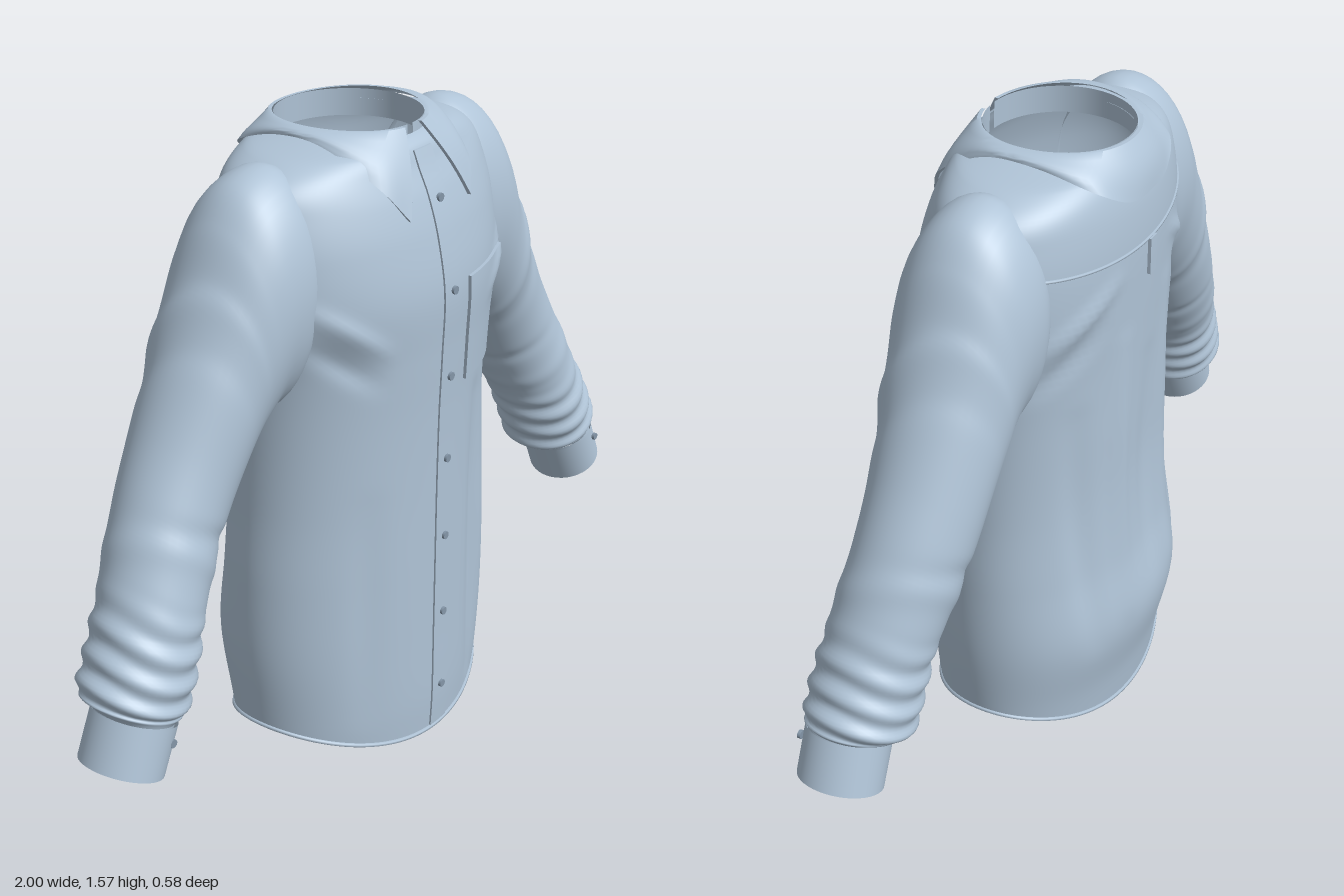
import * as THREE from 'three';
import { toCreasedNormals } from 'three/addons/utils/BufferGeometryUtils.js';

const fabric = new THREE.MeshStandardMaterial({ color: 0xb0c4d7, side: THREE.DoubleSide });
fabric.name = 'pale blue fabric';
const buttonMat = new THREE.MeshStandardMaterial({ color: 0x8496a8 });
buttonMat.name = 'button grey blue';

// Torso profile: height, half width, front depth, back depth
const PROFILE = [
  [0, .375, .265, .235], [.11, .386, .27, .25], [.3, .4, .27, .285], [.5, .395, .27, .256],
  [.7, .382, .27, .24], [.9, .38, .272, .238], [1.05, .39, .277, .238], [1.2, .42, .28, .24],
  [1.33, .42, .258, .24], [1.42, .4, .23, .233], [1.48, .37, .202, .22],
  [1.52, .29, .185, .205], [1.535, .2, .168, .195], [1.54, .172, .158, .188],
];

// Soft folds: x1, y1, x2, y2, height, width, side (1 front, -1 back)
const FOLDS = [
  [-.38, 1.24, -.2, 1.1, .012, .022, 1], [-.36, 1.15, -.22, 1.03, -.012, .025, 1],
  [.38, 1.25, .2, 1.14, .012, .022, 1], [.37, 1.17, .3, 1.12, -.012, .025, 1],
  [.16, .88, .17, .08, -.016, .025, 1], [.23, .8, .24, .1, .01, .04, 1],
  [-.22, .7, -.24, .15, -.007, .04, 1],
  [-.12, 1.15, -.13, .35, .012, .03, -1], [.1, 1.1, .12, .35, .012, .03, -1],
  [-.02, 1, 0, .4, -.01, .035, -1], [.24, .95, .23, .3, -.012, .035, -1],
  [-.25, .95, -.23, .3, -.012, .035, -1],
  [-.36, 1.16, -.14, 1.28, .012, .02, -1], [.36, 1.16, .14, 1.28, .012, .02, -1],
  [-.36, 1.06, -.2, 1.18, -.012, .025, -1], [.36, 1.06, .2, 1.18, -.012, .025, -1],
];

function profileAt(y) {
  const P = PROFILE, last = P.length - 1;
  let i = 0;
  while (i < last - 1 && y > P[i + 1][0]) i++;
  const a = P[i], b = P[i + 1], h = b[0] - a[0];
  const s = THREE.MathUtils.clamp((y - a[0]) / h, 0, 1);
  const slope = (k, c) => {
    const p = P[Math.max(k - 1, 0)], q = P[Math.min(k + 1, last)];
    return (q[c] - p[c]) / (q[0] - p[0]) * h;
  };
  return [1, 2, 3].map((c) => {
    const s2 = s * s, s3 = s2 * s;
    return (2 * s3 - 3 * s2 + 1) * a[c] + (s3 - 2 * s2 + s) * slope(i, c)
      + (3 * s2 - 2 * s3) * b[c] + (s3 - s2) * slope(i + 1, c);
  });
}

function foldAt(x, y, side) {
  let sum = 0;
  for (const [x1, y1, x2, y2, amp, w, s] of FOLDS) {
    if (s !== side) continue;
    const dx = x2 - x1, dy = y2 - y1;
    const t = THREE.MathUtils.clamp(((x - x1) * dx + (y - y1) * dy) / (dx * dx + dy * dy), 0, 1);
    const d = Math.hypot(x - x1 - t * dx, y - y1 - t * dy);
    sum += amp * Math.sin(Math.PI * (.1 + .8 * t)) * Math.exp(-(d * d) / (w * w));
  }
  return sum;
}

function surfaceZ(x, y, side = 1) {
  const [w, f, b] = profileAt(y);
  const round = Math.sqrt(Math.max(0, 1 - (x / w) ** 2));
  return side * ((side > 0 ? f : b) * round + foldAt(x, y, side) * Math.min(1, round * 2));
}

// Surface from fn(u, v); u runs along rows, v across columns
function loft(rows, cols, fn, closed = true) {
  const pos = [], index = [], n = closed ? cols : cols + 1;
  for (let i = 0; i <= rows; i++) for (let j = 0; j < n; j++) pos.push(...fn(i / rows, j / cols));
  for (let i = 0; i < rows; i++) for (let j = 0; j < cols; j++) {
    const k = (j + 1) % n, a = i * n + j, b = i * n + k;
    index.push(a, b, a + n, b, b + n, a + n);
  }
  const geo = new THREE.BufferGeometry();
  geo.setAttribute('position', new THREE.Float32BufferAttribute(pos, 3));
  geo.setIndex(index);
  geo.computeVertexNormals();
  return geo;
}

function torsoPoint(u, v) {
  const a = v * Math.PI * 2, level = .006 + 1.534 * Math.sin(u * Math.PI / 2);
  const y = level + .105 * Math.sin(a) ** 2 * Math.max(0, 1 - level / .9);
  const x = profileAt(y)[0] * Math.sin(a);
  return [x, y, surfaceZ(x, y, Math.cos(a) >= 0 ? 1 : -1)];
}

// Thin panel that follows the torso surface
function panel(w, h, depth, x, y, side = 1) {
  const geo = new THREE.BoxGeometry(w, h, depth, Math.ceil(w / .015), Math.ceil(h / .02), 1);
  geo.translate(x, y, 0);
  const p = geo.attributes.position;
  for (let i = 0; i < p.count; i++) p.setZ(i, p.getZ(i) + surfaceZ(p.getX(i), p.getY(i), side));
  return toCreasedNormals(geo, .7);
}

// Sleeve rings: outer x, y, inner x, y, centre z, half depth
const SLEEVE = [
  [.26, 1.5, .33, 1.03, 0, .145], [.33, 1.527, .36, .975, 0, .163], [.42, 1.503, .4, .965, 0, .163],
  [.485, 1.43, .425, .945, 0, .157], [.54, 1.32, .457, .915, -.003, .15], [.615, 1.18, .495, .865, -.003, .142],
  [.7, 1.02, .54, .79, -.002, .132], [.765, .905, .585, .715, .005, .127], [.83, .78, .633, .64, .02, .124],
  [.885, .67, .67, .57, .034, .124], [.93, .58, .705, .49, .042, .127], [.962, .51, .74, .42, .046, .122],
  [.945, .475, .785, .41, .062, .096],
];
const curve = (f) => new THREE.CatmullRomCurve3(SLEEVE.map(f));
const outer = curve((r) => new THREE.Vector3(r[0], r[1], 0));
const inner = curve((r) => new THREE.Vector3(r[2], r[3], 0));
const depth = curve((r, i) => new THREE.Vector3(r[4], r[5], i));

function ringPoint(o, i, zc, zr, a, swell, sx) {
  const c = Math.cos(a) * (1 + swell) / 2;
  return [sx * ((o.x + i.x) / 2 + (o.x - i.x) * c), (o.y + i.y) / 2 + (o.y - i.y) * c,
    zc + zr * (1 + swell) * Math.sin(a * sx)];
}

function sleeveGeometry(sx) {
  const bump = (t, c, w) => Math.exp(-(((t - c) / w) ** 2));
  return loft(130, 48, (t, v) => {
    const a = v * Math.PI * 2, d = depth.getPoint(t);
    const rolls = THREE.MathUtils.smoothstep(t, .68, .78) * (1 - THREE.MathUtils.smoothstep(t, .92, .97));
    const swell = rolls * .045 * Math.sin((t * 17 + .22 * Math.sin(a * 2 + 1) + .1 * Math.cos(a)) * Math.PI * 2)
      + (.045 * bump(t, .36 + .03 * Math.sin(a), .018) - .035 * bump(t, .41 + .03 * Math.sin(a), .02)) * (.5 + .5 * Math.cos(a - .7))
      - .05 * bump(t, .58 + .03 * Math.cos(a), .016) * (.5 - .5 * Math.cos(a - .5))
      + .03 * bump(t, .64 + .02 * Math.sin(a), .02);
    return ringPoint(outer.getPoint(t), inner.getPoint(t), d.x, d.y, a, swell, sx);
  });
}

// Cuff wall: down the outside, under the edge and back up the inside
function cuffGeometry(sx) {
  const steps = [[0, 0], [.5, 0], [1, 0], [1, -.08], [.5, -.08], [0, -.08]];
  const geo = loft(5, 40, (u, v) => {
    const [s, swell] = steps[Math.round(u * 5)];
    const o = { x: .95 + .05 * s, y: .478 - .108 * s }, i = { x: .778 + .052 * s, y: .405 - .11 * s };
    return ringPoint(o, i, .064, .1, v * Math.PI * 2, swell, sx);
  });
  return toCreasedNormals(geo, .8);
}

// Folded collar: closed section swept around the neck, thinning to nothing at both tips
function collarGeometry() {
  const half = [[.115, 1.385, .246], [.165, 1.46, .202], [.205, 1.546, .06], [.206, 1.548, -.06],
    [.172, 1.5, -.198], [.09, 1.455, -.234]];
  const edge = new THREE.CatmullRomCurve3([...half, [0, 1.45, -.242],
    ...half.slice().reverse().map(([x, y, z]) => [-x, y, z])].map((p) => new THREE.Vector3(...p)));
  const n = 8;
  const geo = loft(74, n * 2, (u, v) => {
    const t = THREE.MathUtils.clamp((u * 74 - 1) / 72, 0, 1);
    const a = .17 + t * (Math.PI * 2 - .34), k = Math.round(v * n * 2);
    const thick = u === 0 || u === 1 ? 0 : .009;
    const s = k < n ? k / (n - 1) : (2 * n - 1 - k) / (n - 1);
    const out = .01 * Math.sin(Math.PI * s) - (k < n ? 0 : thick);
    const e = edge.getPoint(t), nx = Math.sin(a), nz = Math.cos(a);
    return [THREE.MathUtils.lerp(.182 * nx, e.x, s) + nx * out,
      THREE.MathUtils.lerp(1.562 + .008 * nx * nx, e.y, s) + (k < n ? .003 * Math.sin(Math.PI * s) : 0),
      THREE.MathUtils.lerp(-.014 + .182 * nz, e.z, s) + nz * out];
  });
  return toCreasedNormals(geo, .8);
}

export function createModel() {
  const shirt = new THREE.Group();
  shirt.name = 'shirt';
  const add = (name, geo, mat = fabric) => {
    const mesh = new THREE.Mesh(geo, mat);
    mesh.name = name;
    shirt.add(mesh);
    return mesh;
  };
  const tube = (points, r, closed) => new THREE.TubeGeometry(
    new THREE.CatmullRomCurve3(points.map((p) => new THREE.Vector3(...p)), closed), 120, r, 6, closed);
  const button = (name, x, y, z) => {
    const geo = new THREE.CylinderGeometry(.01, .01, .008, 14).rotateX(Math.PI / 2);
    add(name, geo, buttonMat).position.set(x, y, z);
  };

  // Body and its rolled hem
  add('torso', loft(90, 112, torsoPoint));
  add('hem', tube(Array.from({ length: 48 }, (_, i) => torsoPoint(0, i / 48)), .006, true));

  // Sleeves with cuffs
  for (const [side, sx] of [['left', 1], ['right', -1]]) {
    add(side + 'Sleeve', sleeveGeometry(sx));
    add(side + 'Cuff', cuffGeometry(sx));
  }
  button('leftCuffButton', .912, .42, .163);
  button('rightCuffButton', -.845, .39, .155);

  // Collar stand, open at the front, and folded collar
  const stand = new THREE.CylinderGeometry(.17, .172, .065, 64, 1, true, .06, Math.PI * 2 - .12);
  add('collarStand', stand).position.set(0, 1.53, -.014);
  add('collar', collarGeometry());

  // Front placket, buttons and chest pocket
  add('placket', panel(.064, 1.5, .009, 0, .765));
  for (const y of [1.41, 1.2, .985, .77, .56, .345, .13]) button('frontButton', 0, y, surfaceZ(0, y) + .007);
  add('chestPocket', panel(.22, .26, .016, .18, 1.08));

  // Back yoke seam and hanging loop
  add('yokeSeam', tube(Array.from({ length: 25 }, (_, i) => {
    const x = -.34 + .68 * i / 24, y = 1.33 + .25 * x * x;
    return [x, y, surfaceZ(x, y, -1)];
  }), .004, false));
  add('backLoop', panel(.03, .09, .016, 0, 1.285, -1));
  return shirt;
}
